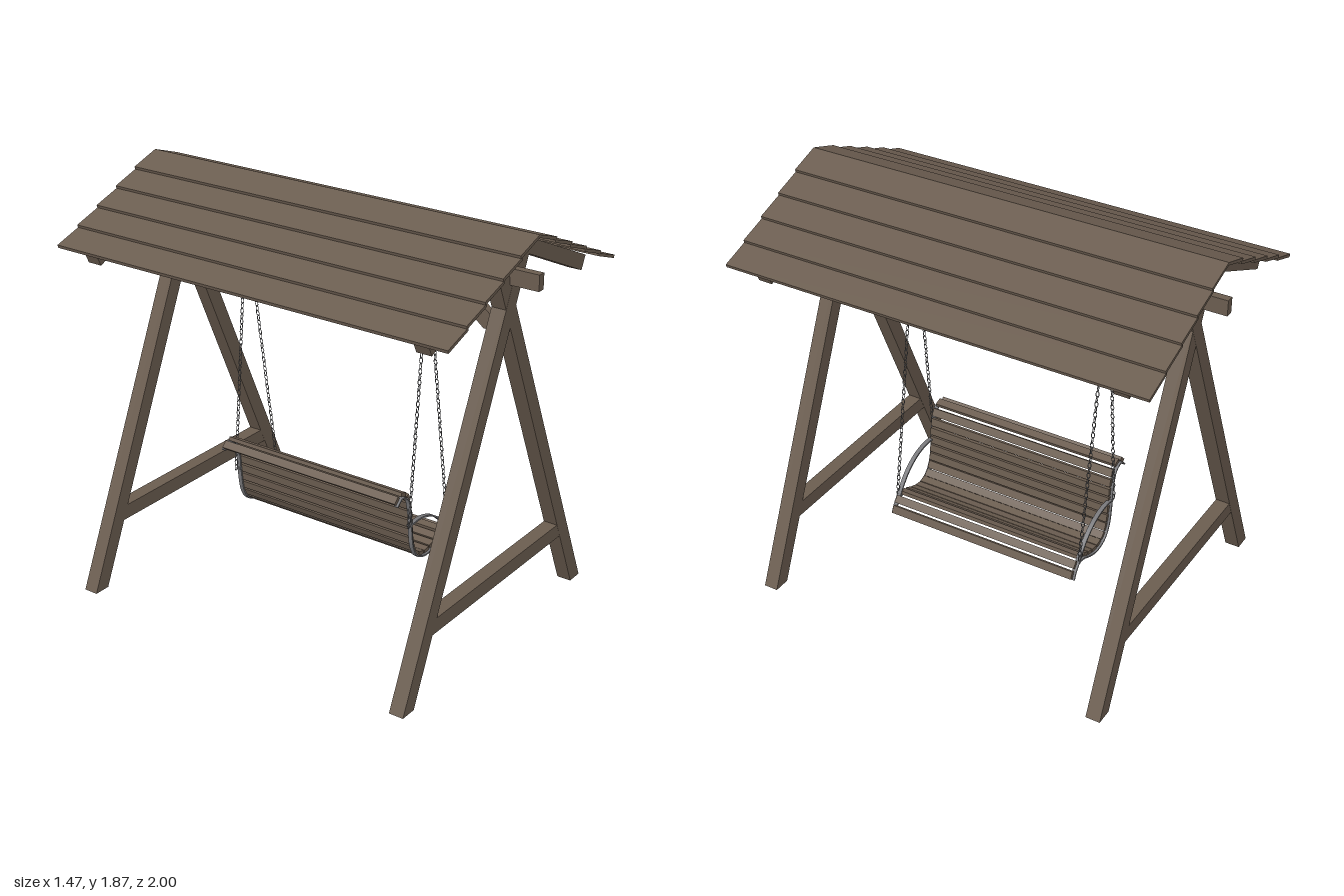
import * as THREE from 'three';
import { mergeGeometries } from 'three/addons/utils/BufferGeometryUtils.js';

const wood = new THREE.MeshStandardMaterial({ color: 0x6b5d50 });
wood.name = 'brown wood';
const metal = new THREE.MeshStandardMaterial({ color: 0x77777a });
metal.name = 'grey metal';

const V2 = (x, y) => new THREE.Vector2(x, y);
const V3 = (x, y, z = 0) => new THREE.Vector3(x, y, z);

// Polygon in the xy plane, extruded along z and centred on the given z
function prism(points, depth, z = 0) {
  const shape = new THREE.Shape(points.map(([x, y]) => V2(x, y)));
  const geo = new THREE.ExtrudeGeometry(shape, { depth, bevelEnabled: false });
  return geo.translate(0, 0, z - depth / 2);
}

// Flat strap that follows a curve in the xy plane
function strap(curve, thickness, depth, z, offset = 0) {
  const upper = [], lower = [], n = 40;
  for (let i = 0; i <= n; i++) {
    const p = curve.getPointAt(i / n), t = curve.getTangentAt(i / n);
    const at = (d) => [p.x - t.y * d, p.y + t.x * d];
    upper.push(at(offset + thickness / 2));
    lower.unshift(at(offset - thickness / 2));
  }
  return prism([...upper, ...lower], depth, z);
}

// Chain of alternating oval links between two points
function chain(a, b) {
  const dir = b.clone().sub(a), count = Math.round(dir.length() / 0.024);
  const turn = new THREE.Quaternion().setFromUnitVectors(V3(0, 1), dir.clone().normalize());
  const links = [];
  for (let i = 0; i < count; i++) {
    const link = new THREE.TorusGeometry(0.0075, 0.002, 4, 10);
    link.scale(1, 1.75, 1).rotateY(i % 2 ? Math.PI / 2 : 0).applyQuaternion(turn);
    const p = a.clone().addScaledVector(dir, (i + 0.5) / count);
    links.push(link.translate(p.x, p.y, p.z));
  }
  return mergeGeometries(links);
}

export function createModel() {
  const model = new THREE.Group();
  const swing = new THREE.Group();
  swing.name = 'gardenSwing';
  swing.rotation.y = 0.0145;
  model.add(swing);
  const add = (name, geo, mat = wood, parent = swing) => {
    const mesh = new THREE.Mesh(geo, mat);
    mesh.name = name;
    parent.add(mesh);
    return mesh;
  };

  // Leg with a level foot and a square-cut top at (tx, ty); side -1 stands on -x
  const legPoints = (side, tx, ty) => [
    [side * 0.722, 0], [side * 0.644, 0],
    [-side * (tx + 0.032), ty - 0.014], [-side * (tx - 0.032), ty + 0.014],
  ];
  // Rafter: plumb cut at the ridge, square cut at the eaves
  const rafterPoints = (side) => [
    [0, 1.79], [0, 1.858], [side * 0.602, 1.592], [side * 0.574, 1.531],
  ];

  // End frames
  for (const end of [1, -1]) {
    const frame = new THREE.Group();
    frame.name = end > 0 ? 'frontFrame' : 'backFrame';
    swing.add(frame);
    const z = end * 0.835;
    add('rightLeg', prism(legPoints(-1, 0.115, 1.805), 0.068, z), wood, frame);
    add('leftLeg', prism(legPoints(1, 0.096, 1.762), 0.067, z), wood, frame);
    add('rightRafter', prism(rafterPoints(-1), 0.07, z), wood, frame);
    add('leftRafter', prism(rafterPoints(1), 0.066, z), wood, frame);
    add('stretcher', prism([[-0.592, 0.288], [0.592, 0.288], [0.562, 0.355], [-0.562, 0.355]],
      0.066, z), wood, frame);

    // Diagonal brace up to the ridge beam
    const brace = prism([[0.805, 1.435], [0.755, 1.435], [0.49, 1.65], [0.595, 1.65], [0.805, 1.485]]
      .map(([a, y]) => [a * end, y]), 0.036);
    add('brace', brace.rotateY(-Math.PI / 2), wood, frame);
  }

  // Ridge beam
  add('ridgeBeam', new THREE.BoxGeometry(0.036, 0.07, 2).translate(0, 1.68, 0));

  // Lapped roof boards
  const roof = new THREE.Group();
  roof.name = 'roof';
  swing.add(roof);
  const roofY = (x) => 1.859 - 0.44 * x;
  const step = 0.1255;
  for (const side of [1, -1]) {
    for (let i = 0; i < 5; i++) {
      const x0 = i * step, x1 = x0 + step + 0.01;
      add('roofBoard', prism([
        [side * x0, roofY(x0)], [side * x1, roofY(x1) + 0.012],
        [side * (x1 + 0.004), roofY(x1) + 0.026], [side * x0, roofY(x0) + 0.013],
      ], 1.965), wood, roof);
    }
  }

  // Bench: slats along a curled back and rolled seat
  const bench = new THREE.Group();
  bench.name = 'bench';
  swing.add(bench);
  const profile = new THREE.CatmullRomCurve3([
    V3(-0.2, 0.615), V3(-0.165, 0.643), V3(-0.118, 0.625), V3(-0.093, 0.56), V3(-0.083, 0.46),
    V3(-0.065, 0.36), V3(-0.03, 0.308), V3(0.035, 0.288), V3(0.1, 0.302), V3(0.16, 0.328),
    V3(0.2, 0.332), V3(0.232, 0.3), V3(0.25, 0.262),
  ]);
  const slats = Math.round(profile.getLength() / 0.045);
  for (let i = 0; i < slats; i++) {
    const u = (i + 0.5) / slats;
    const p = profile.getPointAt(u), t = profile.getTangentAt(u);
    const slat = add('slat', new THREE.BoxGeometry(0.036, 0.017, 0.935), wood, bench);
    slat.position.set(p.x - t.y * 0.008, p.y + t.x * 0.008, 0);
    slat.rotation.z = Math.atan2(t.y, t.x);
  }

  // Bench straps, curved armrests and hanging chains
  const arm = new THREE.CatmullRomCurve3([
    V3(-0.1, 0.48), V3(-0.02, 0.484), V3(0.06, 0.464), V3(0.13, 0.42), V3(0.18, 0.365), V3(0.208, 0.325),
  ]);
  for (const side of [1, -1]) {
    const z = side * 0.468;
    add('benchStrap', strap(profile, 0.007, 0.02, z, -0.004), metal, bench);
    add('armrest', strap(arm, 0.008, 0.02, z), metal, bench);
    const top = V3(0, 1.65, side * 0.474);
    add('backChain', chain(V3(-0.108, 0.475, side * 0.474), top), metal);
    add('frontChain', chain(V3(0.203, 0.34, side * 0.474), top), metal);
  }
  return model;
}
